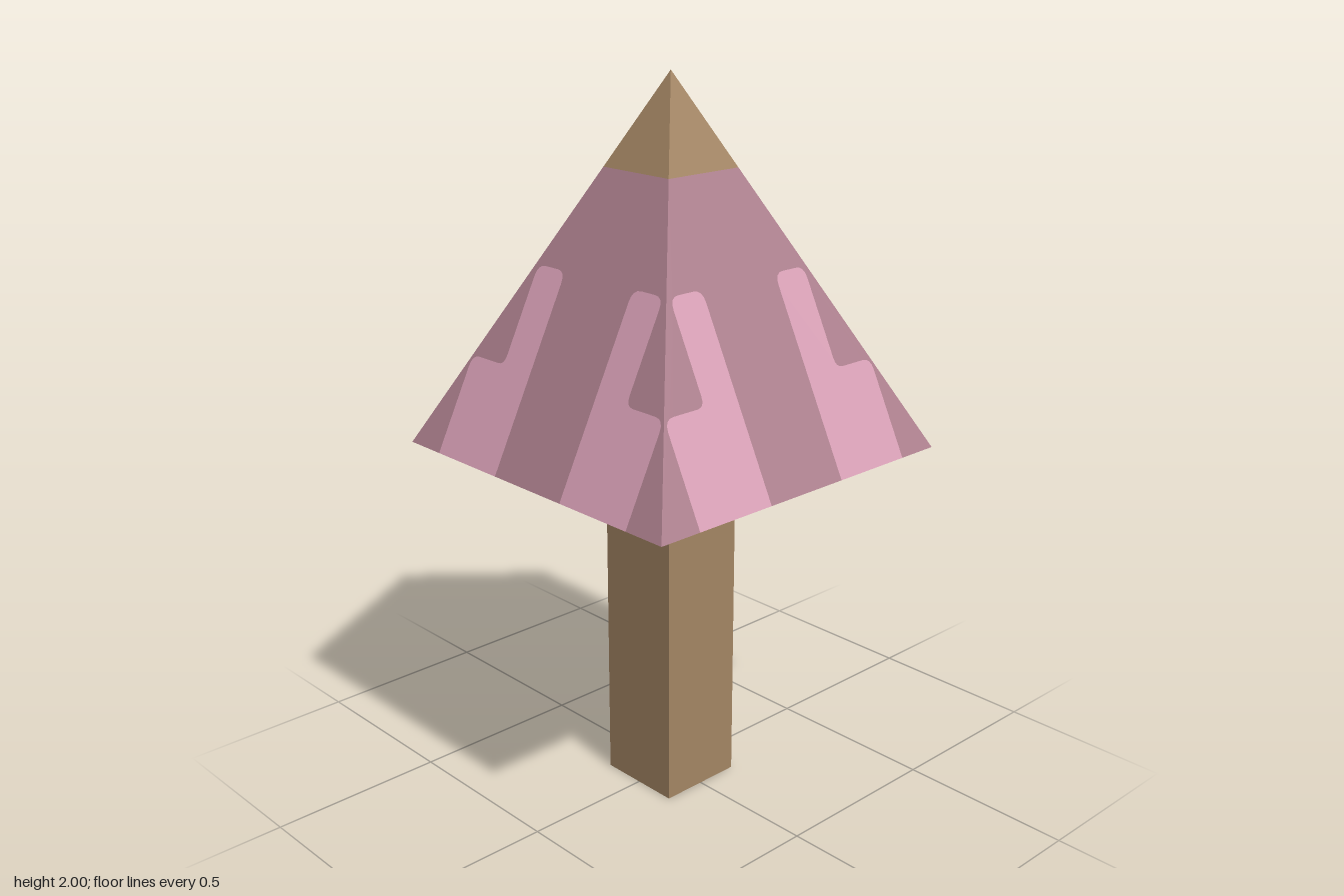
import * as THREE from 'three';

const brown = new THREE.MeshStandardMaterial({ color: 0xa38563 });
brown.name = 'brown bark';
const dusk = new THREE.MeshStandardMaterial({ color: 0xad808e });
dusk.name = 'dusky pink';
const blossom = new THREE.MeshStandardMaterial({ color: 0xd8a0b6 });
blossom.name = 'light pink';

// Outline from [x, y, radius] points; a radius rounds that corner
function outline(points) {
  const shape = new THREE.Shape();
  const at = (i) => new THREE.Vector2(...points[(i + points.length) % points.length].slice(0, 2));
  points.forEach(([x, y, r = 0], i) => {
    const p = new THREE.Vector2(x, y);
    const a = at(i - 1).sub(p).setLength(r).add(p);
    const b = at(i + 1).sub(p).setLength(r).add(p);
    if (i === 0) shape.moveTo(a.x, a.y);
    else shape.lineTo(a.x, a.y);
    if (r) shape.quadraticCurveTo(x, y, b.x, b.y);
  });
  return shape;
}

// Flat shapes carried onto a surface by a rule (x, y) -> [x, y, z]
function panel(shapes, rule) {
  const geometry = new THREE.ShapeGeometry(shapes, 4);
  const pos = geometry.attributes.position;
  for (let i = 0; i < pos.count; i++) pos.setXYZ(i, ...rule(pos.getX(i), pos.getY(i)));
  geometry.computeVertexNormals();
  return geometry;
}

const mirror = (points) => points.map(([x, y, r]) => [-x, y, r]).reverse();
const pair = (points) => [outline(points), outline(mirror(points))];

// Rules for the three surfaces of the hollow canopy
const outside = (x, y) => [x, y, (2 - y) / 2];
const inside = (x, y) => [-x, y, (1.75 - y) / 2];
const under = (x, z) => [x, 1, z];

// Stepped light patch on the right half of an outer face
const step = [
  [0.13, 1], [0.13, 1.5, 0.03], [0.24, 1.5, 0.03],
  [0.24, 1.25, 0.025], [0.375, 1.25, 0.03], [0.375, 1],
];

const panels = [
  ['canopyTip', brown, panel(outline([[-0.125, 1.755], [0.125, 1.755], [0, 2]]), outside)],
  ['canopyFace', dusk, panel(outline([
    [-0.5, 1], ...mirror(step), ...step, [0.5, 1], [0.1225, 1.755], [-0.1225, 1.755],
  ]), outside)],
  ['canopyPatches', blossom, panel(pair(step), outside)],
  ['innerFace', dusk, panel(outline([
    [-0.125, 1], [0.125, 1], [0.125, 1.5], [0, 1.75], [-0.125, 1.5],
  ]), inside)],
  ['innerPatches', blossom, panel(pair([[0.125, 1], [0.375, 1], [0.125, 1.5]]), inside)],
  ['rim', dusk, panel([
    outline([[-0.125, 0.375], [0.125, 0.375], [0.125, 0.5], [-0.125, 0.5]]),
    ...pair([[0.375, 0.375], [0.5, 0.5], [0.375, 0.5]]),
  ], under)],
  ['rimPatches', blossom, panel(pair([
    [0.125, 0.375], [0.375, 0.375], [0.375, 0.5], [0.125, 0.5],
  ]), under)],
];
// Tip meets the sloping edges exactly
panels[0][2] = panel(outline([[-0.1225, 1.755], [0.1225, 1.755], [0, 2]]), outside);

export function createModel() {
  const model = new THREE.Group();
  model.name = 'tree';

  // Trunk, reaching up into the hollow canopy
  const trunk = new THREE.Mesh(new THREE.BoxGeometry(0.25, 1.5, 0.25), brown);
  trunk.name = 'trunk';
  trunk.position.y = 0.75;
  model.add(trunk);

  // Four identical sides of the canopy
  ['front', 'left', 'back', 'right'].forEach((name, i) => {
    const side = new THREE.Group();
    side.name = `${name}CanopySide`;
    side.rotation.y = (i * Math.PI) / 2;
    for (const [part, material, geometry] of panels) {
      const mesh = new THREE.Mesh(geometry, material);
      mesh.name = part;
      side.add(mesh);
    }
    model.add(side);
  });
  return model;
}
